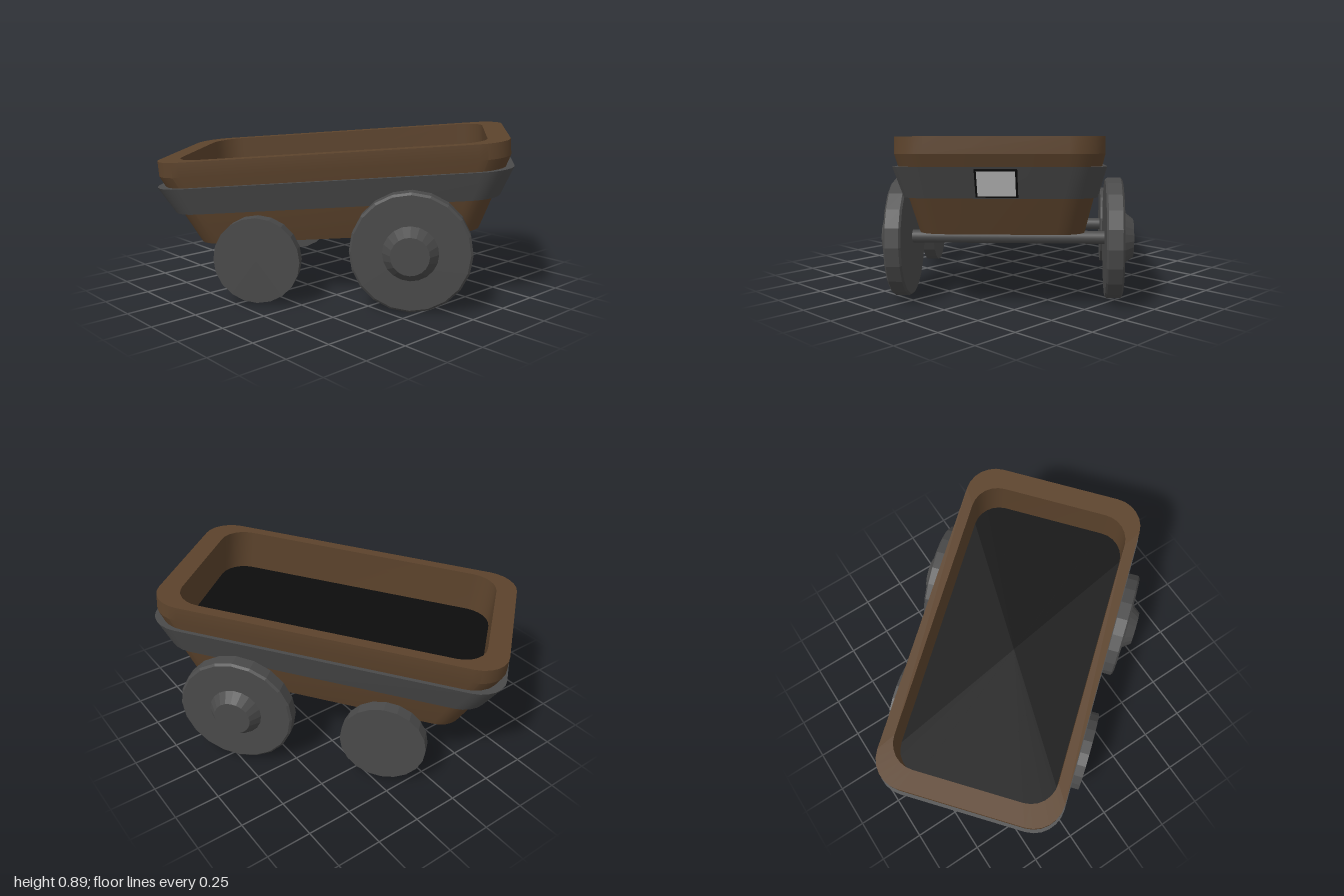
import * as THREE from 'three';
import { toCreasedNormals } from 'three/addons/utils/BufferGeometryUtils.js';

const BROWN = new THREE.MeshStandardMaterial({ color: 0x5c432c });
const IRON = new THREE.MeshStandardMaterial({ color: 0x4a4a4a });
const FLAT_IRON = new THREE.MeshStandardMaterial({ color: 0x4a4a4a, flatShading: true });
const BLACK = new THREE.MeshStandardMaterial({ color: 0x0d0d0d });
const GREY = new THREE.MeshStandardMaterial({ color: 0xcccccc });

const HALF_L = 0.965, HALF_W = 0.515, RADIUS = 0.17, STEPS = 6;
const PIVOT_Y = 0.675, PITCH = 0.08;

function add(parent, name, geometry, material) {
  const mesh = new THREE.Mesh(geometry, material);
  mesh.name = name;
  parent.add(mesh);
  return mesh;
}

// Rounded rectangle, anticlockwise seen from above
function outline() {
  const pts = [];
  [[1, -1], [-1, -1], [-1, 1], [1, 1]].forEach(([sx, sz], q) => {
    for (let i = 0; i <= STEPS; i++) {
      const a = (q + i / STEPS) * Math.PI / 2;
      pts.push([
        sx * (HALF_L - RADIUS) + RADIUS * Math.cos(a),
        sz * (HALF_W - RADIUS) - RADIUS * Math.sin(a),
      ]);
    }
  });
  return pts;
}

// Skins a stack of [scale, height] copies of the outline
function loft(profile) {
  const ring = outline(), n = ring.length, pos = [], idx = [];
  for (const [s, y] of profile) for (const [x, z] of ring) pos.push(x * s, y - PIVOT_Y, z * s);
  for (let j = 0; j < profile.length - 1; j++) {
    for (let i = 0; i < n; i++) {
      const a = j * n + i, b = j * n + (i + 1) % n;
      idx.push(a, b, b + n, a, b + n, a + n);
    }
  }
  const g = new THREE.BufferGeometry();
  g.setAttribute('position', new THREE.Float32BufferAttribute(pos, 3));
  g.setIndex(idx);
  return toCreasedNormals(g, 0.35);
}

// Disc turned about z, its outer face toward +z
function disc(points) {
  const g = new THREE.LatheGeometry(points.map(([r, h]) => new THREE.Vector2(r, h)), 20);
  return g.rotateX(Math.PI / 2);
}

export function createModel() {
  const model = new THREE.Group();
  model.name = 'cart';
  const cart = new THREE.Group();
  cart.name = 'turnedCart';
  cart.rotation.order = 'YXZ';
  cart.rotation.set(0.008, THREE.MathUtils.degToRad(40), 0);
  model.add(cart);

  // Tub, pitched up toward the rear
  const tub = new THREE.Group();
  tub.name = 'tub';
  tub.position.y = PIVOT_Y;
  tub.rotation.z = PITCH;
  cart.add(tub);
  add(tub, 'tubShell', loft([
    [0.001, 0.343], [0.8, 0.343], [0.985, 0.735], [0.985, 0.817], [0.865, 0.817], [0.865, 0.57],
  ]), BROWN);
  add(tub, 'tubFloor', loft([[0.866, 0.575], [0.001, 0.575]]), BLACK);
  add(tub, 'metalBand', loft([[0.87, 0.525], [0.92, 0.525], [1, 0.675], [0.94, 0.675]]), IRON);

  // Framed plate lying on the sloping rear of the band
  const plate = new THREE.Group();
  plate.name = 'rearPlate';
  plate.position.set(HALF_L * 0.96, -0.075, 0);
  plate.rotation.z = -Math.atan2(HALF_L * 0.08, 0.15);
  tub.add(plate);
  add(plate, 'plateFrame', new THREE.BoxGeometry(0.012, 0.15, 0.2), BLACK);
  add(plate, 'plateFace', new THREE.BoxGeometry(0.018, 0.132, 0.18), GREY);

  // Wheels and axles
  const sets = [
    {
      name: 'rear', x: 0.443, y: 0.325, inner: 0.51,
      profile: [[0, 0], [0.308, 0], [0.317, 0.01], [0.317, 0.08], [0.305, 0.09],
        [0.145, 0.09], [0.1, 0.148], [0, 0.148]],
    },
    {
      name: 'front', x: -0.366, y: 0.25, inner: 0.512,
      profile: [[0, 0], [0.232, 0], [0.232, 0.07], [0, 0.07]],
    },
  ];
  for (const { name, x, y, inner, profile } of sets) {
    const set = new THREE.Group();
    set.name = name + 'WheelSet';
    set.position.set(x, y, -0.01);
    cart.add(set);
    const wheelGeo = disc(profile);
    for (const side of [1, -1]) {
      const wheel = add(set, name + (side > 0 ? 'LeftWheel' : 'RightWheel'), wheelGeo, FLAT_IRON);
      wheel.position.z = side * inner;
      if (side < 0) wheel.rotation.y = Math.PI;
    }
    const axleGeo = new THREE.CylinderGeometry(0.035, 0.035, inner * 2 + 0.02, 12);
    add(set, name + 'Axle', axleGeo.rotateX(Math.PI / 2), IRON);
  }
  return model;
}
